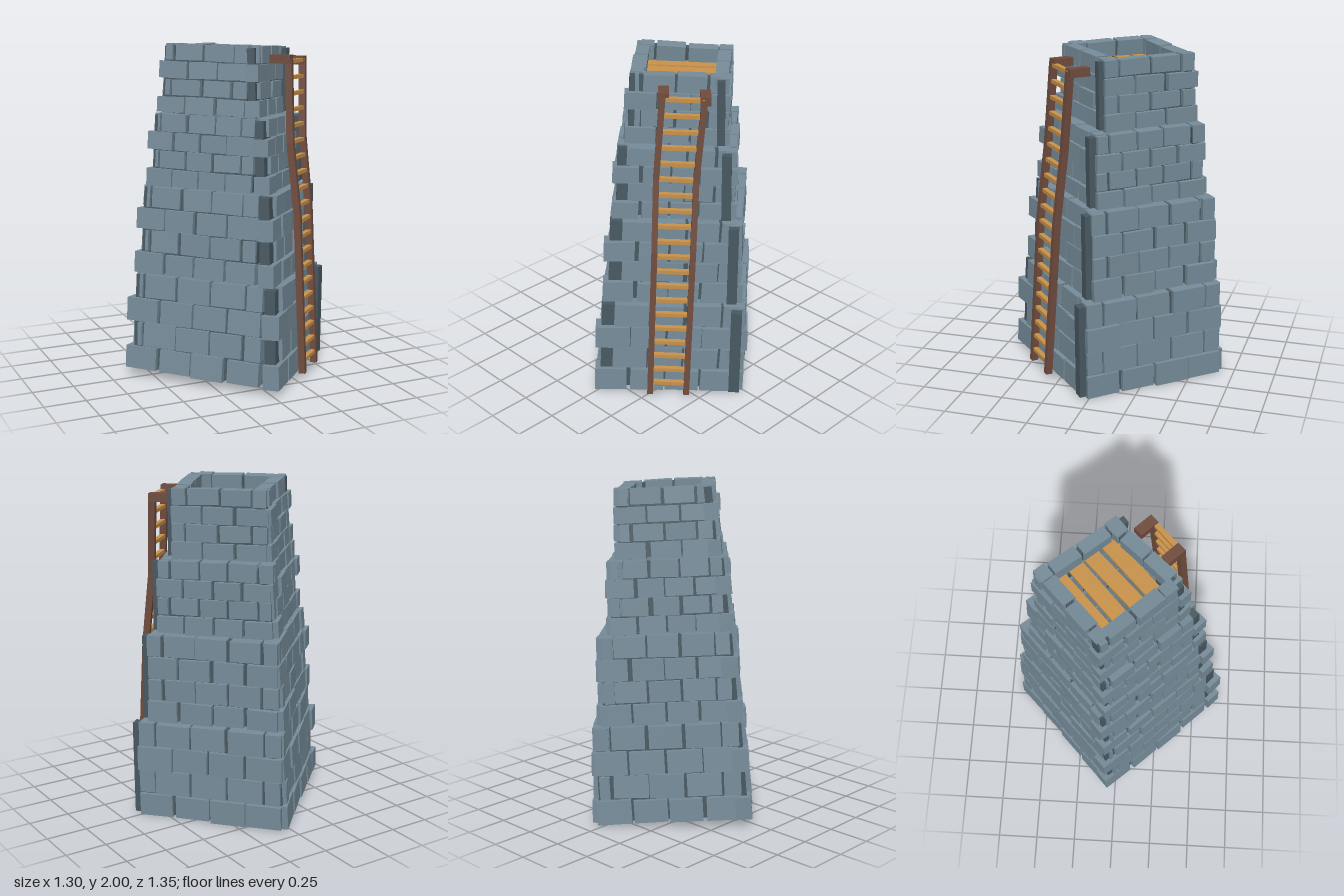
import * as THREE from 'three';

const paint = (color) => new THREE.MeshStandardMaterial({ color, flatShading: true });
const stone = paint(0x768c99);
const mortar = paint(0x485861);
const darkWood = paint(0x704c3e);
const lightWood = paint(0xc9924a);
const unitBox = new THREE.BoxGeometry(1, 1, 1);

let seed = 7;
function jitter(amount) {
  seed = (seed * 16807) % 2147483647;
  return (seed / 2147483647 - 0.5) * 2 * amount;
}

function box(parent, name, material, size, position) {
  const mesh = new THREE.Mesh(unitBox, material);
  mesh.name = name;
  mesh.scale.set(...size);
  mesh.position.set(...position);
  parent.add(mesh);
  return mesh;
}

// Square beam between two points, its broad side turned to the ladder's wall
function beam(parent, name, material, a, b, width, depth) {
  const y = b.clone().sub(a);
  const mesh = box(parent, name, material, [width, y.length(), depth], [0, 0, 0]);
  mesh.position.copy(a).add(b).multiplyScalar(0.5);
  y.normalize();
  const x = new THREE.Vector3().crossVectors(y, new THREE.Vector3(0.7, 0, 0.7)).normalize();
  const z = new THREE.Vector3().crossVectors(x, y);
  mesh.quaternion.setFromRotationMatrix(new THREE.Matrix4().makeBasis(x, y, z));
}

const ROWS = 4; // courses per tier
const LEAN = [-0.025, -0.042]; // tilt of the tower about x and z
const YAW = 0.755;

// The four crooked walls at full size: turn, distance out, ends of the panel,
// start of the long and short courses, end of the bricks
const WALLS = [
  { turn: 0.07, out: 0.465, panel: [-0.45, 0.37], long: -0.49, short: -0.41, end: 0.37 },
  { turn: -0.045, out: 0.475, panel: [-0.455, 0.44], long: -0.425, short: -0.42, end: 0.465 },
  { turn: -0.005, out: 0.465, panel: [-0.46, 0.38], long: -0.485, short: -0.455, end: 0.385 },
  { turn: -0.01, out: 0.442, panel: [-0.44, 0.38], long: -0.485, short: -0.42, end: 0.39 },
];

// Base height, height, scale of the walls, wall thickness, centre x and z, bricks per course
const TIERS = [
  { y: 0.022, h: 0.593, k: 1, t: 0.1, x: 0, z: 0, n: 4 },
  { y: 0.615, h: 0.53, k: 0.9, t: 0.095, x: 0.005, z: -0.02, n: 4 },
  { y: 0.615 + 0.53, h: 0.433, k: 0.785, t: 0.09, x: 0.01, z: -0.022, n: 4 },
  { y: 1.578, h: 0.41, k: 0.655, t: 0.08, x: 0.008, z: -0.047, n: 3 },
];

function makeTier({ y, h, k, t, x, z, n }) {
  const tier = new THREE.Group();
  tier.name = 'towerTier';
  tier.position.set(x, y, z);
  tier.rotation.set(LEAN[0], YAW, LEAN[1], 'XZY');
  const rowH = h / ROWS;
  const batter = 0.006; // each course steps in a little

  WALLS.forEach((w, side) => {
    const wall = new THREE.Group();
    wall.name = 'wall';
    wall.rotation.y = (side * Math.PI) / 2 + w.turn;
    tier.add(wall);
    const out = w.out * k;

    // Dark panel inside the brickwork, its end showing at one corner
    const depth = t - 0.035;
    const [p0, p1] = w.panel.map((v) => v * k);
    const panel = box(wall, 'mortarPanel', mortar, [p1 - p0, h - 0.025, depth],
      [(p0 + p1) / 2, h / 2, out - 0.009 - 0.022 - depth / 2]);
    panel.rotation.x = -batter / rowH;

    // Staggered courses, every other one reaching past the corner
    const first = w.long * k;
    const end = w.end * k;
    const pitch = (end - first) / n;
    for (let r = 0; r < ROWS; r++) {
      const long = r % 2 === 0;
      const face = out - batter * r + (long ? 0.006 : 0);
      const start = (long ? w.long : w.short) * k;
      for (let i = 0; i <= n; i++) {
        const from = first + pitch * (long ? i : i - 0.5);
        const a = Math.max(start, from);
        const b = Math.min(end, from + pitch);
        if (b - a < 0.03) continue;
        const brick = box(wall, 'brick', stone,
          [b - a - 0.016 + jitter(0.008), rowH - 0.008 + jitter(0.006), t + jitter(0.006)],
          [(a + b) / 2 + jitter(0.005), rowH * (r + 0.5), face - t / 2 + jitter(0.006)]);
        brick.rotation.set(-0.04 + jitter(0.03), jitter(0.03), jitter(0.02));
      }
    }
  });
  return tier;
}

function makeFloor() {
  const floor = new THREE.Group();
  floor.name = 'floor';
  floor.position.set(0.018, 1.885, -0.062);
  floor.rotation.set(LEAN[0], YAW, -0.01, 'XZY');
  for (let i = 0; i < 4; i++) {
    const plank = box(floor, 'floorPlank', lightWood, [0.49, 0.02, 0.092], [0, 0, (i - 1.5) * 0.114]);
    plank.rotation.y = jitter(0.025);
  }
  return floor;
}

function makeLadder() {
  const ladder = new THREE.Group();
  ladder.name = 'ladder';
  const v = (x, y, z) => new THREE.Vector3(x, y, z);
  // Rails bend slightly at two heights
  const rails = [
    [v(0.29, 0.045, 0.465), v(0.275, 1, 0.405), v(0.246, 1.43, 0.36), v(0.253, 1.92, 0.315)],
    [v(0.45, 0.045, 0.315), v(0.434, 1, 0.25), v(0.41, 1.43, 0.205), v(0.425, 1.9, 0.16)],
  ];
  for (const points of rails) {
    for (let i = 0; i < 3; i++) beam(ladder, 'rail', darkWood, points[i], points[i + 1], 0.035, 0.04);
    // Bracket tying the rail to the tower
    const top = points[3];
    const bracket = box(ladder, 'bracket', darkWood, [0.06, 0.05, 0.125],
      [top.x - 0.03, top.y - 0.005, top.z - 0.038]);
    bracket.rotation.y = Math.PI / 4;
  }
  const at = (points, y) => {
    const i = y < 1 ? 0 : y < 1.43 ? 1 : 2;
    const [a, b] = [points[i], points[i + 1]];
    return a.clone().lerp(b, (y - a.y) / (b.y - a.y));
  };
  for (let i = 0; i < 20; i++) {
    const y = 0.12 + i * 0.0937;
    beam(ladder, 'rung', lightWood, at(rails[0], y + 0.003), at(rails[1], y - 0.003), 0.022, 0.03);
  }
  return ladder;
}

export function createModel() {
  const model = new THREE.Group();
  model.name = 'stoneTower';
  for (const tier of TIERS) model.add(makeTier(tier));
  model.add(makeFloor(), makeLadder());
  return model;
}
